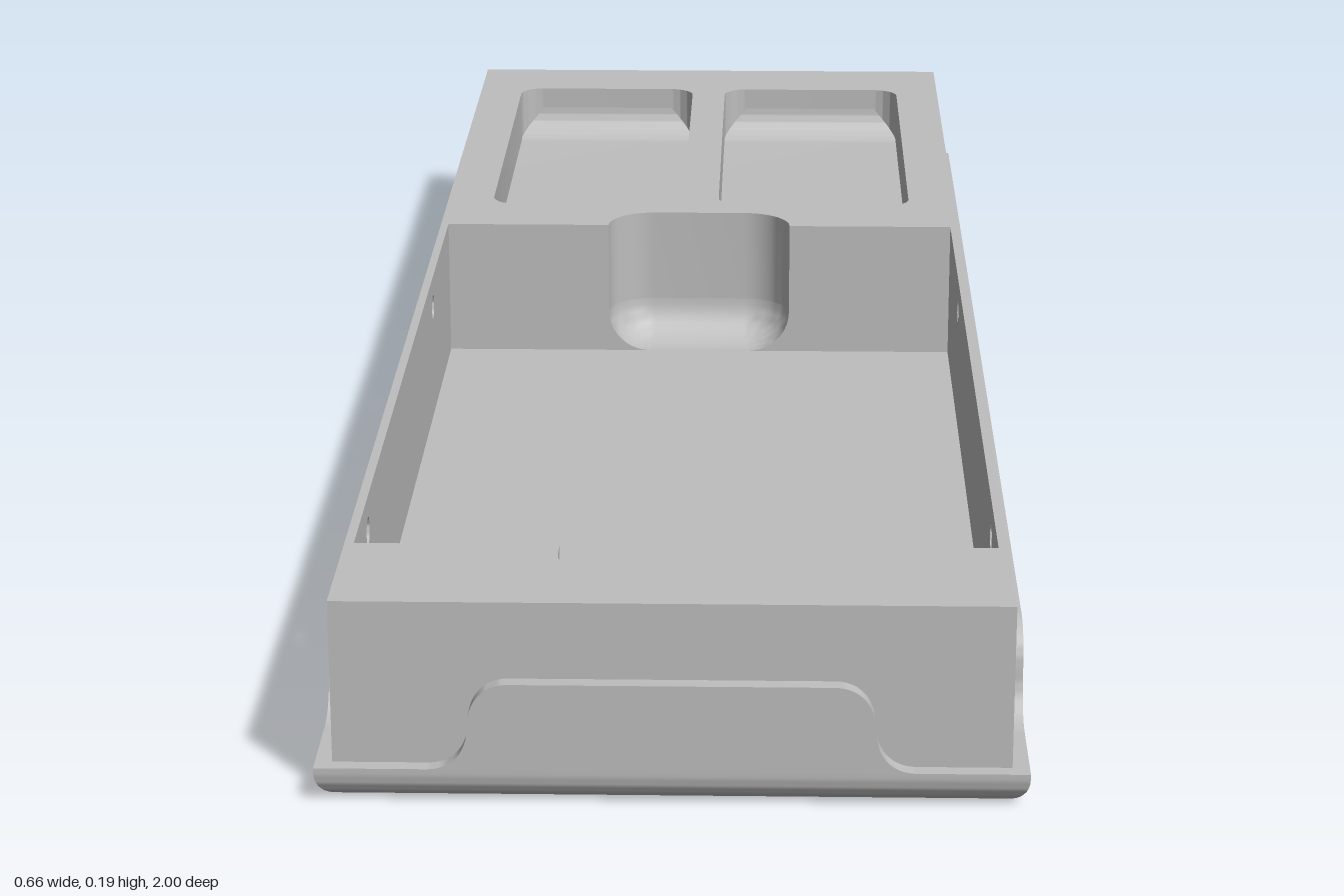
import * as THREE from 'three';
import { toCreasedNormals } from 'three/addons/utils/BufferGeometryUtils.js';

const FLOOR = 0.035, TOP = 0.195, CORE = 0.305, WALL = 0.314, END = 0.985;

export function createModel() {
  const model = new THREE.Group();
  const grey = new THREE.MeshStandardMaterial({ color: 0xbebebe, side: THREE.DoubleSide });
  grey.name = 'tray grey';

  const add = (name, geo, parent = model) => {
    const mesh = new THREE.Mesh(toCreasedNormals(geo, 0.6), grey);
    mesh.name = name;
    parent.add(mesh);
    return mesh;
  };
  const extrude = (shape, depth) =>
    new THREE.ExtrudeGeometry(shape, { depth, bevelEnabled: false, curveSegments: 12 });

  // Skin a list of rings of [x, y, z] points, lowest ring first
  const skin = (rings, closed) => {
    const pos = [];
    for (let k = 0; k < rings.length - 1; k++) {
      const n = rings[k].length;
      for (let j = 0; j < (closed ? n : n - 1); j++) {
        const a = rings[k][j], b = rings[k][(j + 1) % n];
        const c = rings[k + 1][(j + 1) % n], d = rings[k + 1][j];
        pos.push(...a, ...b, ...c, ...a, ...c, ...d);
      }
    }
    const geo = new THREE.BufferGeometry();
    geo.setAttribute('position', new THREE.Float32BufferAttribute(pos, 3));
    return geo;
  };

  // Base plate with a rounded lower edge
  const rect = (x, z, y) => [[x, y, z], [x, y, -z], [-x, y, -z], [-x, y, z]];
  const R = 0.03, baseRings = [rect(0, 0, 0)];
  for (let i = 0; i <= 10; i++) {
    const a = (i / 10) * Math.PI / 2, inset = R * (1 - Math.sin(a));
    baseRings.push(rect(0.33 - inset, 1 - inset, R * (1 - Math.cos(a))));
  }
  baseRings.push(rect(0.33, 1, FLOOR), rect(0, 0, FLOOR));
  add('basePlate', skin(baseRings, true));

  // Raised lips with S-shaped ends on all four sides
  const lip = (name, top, foot, dist, thick, turn) => {
    const m = (top + foot) / 2, h = 0.12, mid = (FLOOR + h) / 2;
    const s = new THREE.Shape();
    s.moveTo(-foot, FLOOR);
    s.bezierCurveTo(-m - 0.015, FLOOR, -m, mid - 0.025, -m, mid);
    s.bezierCurveTo(-m, mid + 0.025, -m + 0.015, h, -top, h);
    s.lineTo(top, h);
    s.bezierCurveTo(m - 0.015, h, m, mid + 0.025, m, mid);
    s.bezierCurveTo(m, mid - 0.025, m + 0.015, FLOOR, foot, FLOOR);
    const geo = extrude(s, thick);
    geo.translate(0, 0, dist - thick);
    add(name, geo).rotation.y = turn;
  };
  lip('frontLip', 0.15, 0.225, 1, 0.016, 0);
  lip('backLip', 0.15, 0.225, 1, 0.016, Math.PI);
  lip('leftLip', 0.82, 0.905, 0.33, 0.017, Math.PI / 2);
  lip('rightLip', 0.82, 0.905, 0.33, 0.017, -Math.PI / 2);

  // Thin side walls, each with three round holes
  for (const side of [1, -1]) {
    const s = new THREE.Shape();
    s.moveTo(-END, FLOOR);
    s.lineTo(END, FLOOR);
    s.lineTo(END, TOP);
    s.lineTo(-END, TOP);
    s.closePath();
    for (const z of [-0.72, 0, 0.72]) {
      const hole = new THREE.Path();
      hole.absarc(z, 0.16, 0.014, 0, Math.PI * 2, true);
      s.holes.push(hole);
    }
    const geo = extrude(s, WALL - CORE);
    geo.translate(0, 0, CORE);
    add(side > 0 ? 'leftWall' : 'rightWall', geo).rotation.y = side * Math.PI / 2;
  }

  // Outline of a finger notch, inset by s: [x, distance into the block]
  const notch = (depth, s) => {
    const w = 0.11 - s, d = depth - s, r = Math.max(0.055 - s, 0.004);
    const pts = [[-w, 0]];
    for (let i = 0; i <= 10; i++) {
      const a = (i / 10) * Math.PI / 2;
      pts.push([-w + r - r * Math.cos(a), d - r + r * Math.sin(a)]);
    }
    return [...pts, ...pts.map(([x, y]) => [-x, y]).reverse()];
  };

  // Pocket opening with rounded corners
  const roundedHole = (x0, x1, y0, y1, r) => {
    const p = new THREE.Path();
    p.absarc(x1 - r, y0 + r, r, -Math.PI / 2, 0);
    p.absarc(x1 - r, y1 - r, r, 0, Math.PI / 2);
    p.absarc(x0 + r, y1 - r, r, Math.PI / 2, Math.PI);
    p.absarc(x0 + r, y0 + r, r, Math.PI, Math.PI * 1.5);
    p.closePath();
    return p;
  };

  // Solid end block, its notched edge on local z = 0 facing +z
  const endBlock = (name, length, depth, holes) => {
    const group = new THREE.Group();
    group.name = name;
    const s = new THREE.Shape();
    s.moveTo(-CORE, 0);
    s.lineTo(-CORE, length);
    s.lineTo(CORE, length);
    s.lineTo(CORE, 0);
    notch(depth, 0).reverse().forEach(([x, y]) => s.lineTo(x, y));
    s.closePath();
    s.holes.push(...holes);
    const geo = extrude(s, TOP - FLOOR);
    geo.rotateX(-Math.PI / 2);
    geo.translate(0, FLOOR, 0);
    add(name + 'Body', geo, group);

    // Cove at the bottom of the notch
    const r = 0.05, rings = [];
    for (let i = 0; i <= 10; i++) {
      const a = (i / 10) * Math.PI / 2;
      const y = FLOOR + r * (1 - Math.cos(a));
      rings.push(notch(depth, r * (1 - Math.sin(a))).map(([x, d]) => [x, y, -d]));
    }
    add(name + 'NotchCove', skin(rings, false), group);
    for (const side of [1, -1]) {
      const c = new THREE.Shape();
      c.moveTo(side * 0.11, FLOOR);
      rings.forEach((ring) => c.lineTo(side * ring.at(-1)[0], ring[0][1]));
      c.closePath();
      add(name + 'NotchCorner', new THREE.ShapeGeometry(c), group);
    }
    model.add(group);
    return group;
  };

  const spans = [[-0.258, -0.022], [0.022, 0.258]];
  endBlock('backBlock', 0.765, 0.055,
    spans.map(([a, b]) => roundedHole(a, b, 0.09, 0.66, 0.03))).position.z = -0.22;
  const front = endBlock('frontBlock', 0.145, 0.08, []);
  front.position.z = 0.84;
  front.rotation.y = Math.PI;

  // Floors of the two small pockets, coved up at both ends
  for (const [x0, x1] of spans) {
    const y = 0.13, r = 0.038, z0 = 0.31, z1 = 0.88;
    const s = new THREE.Shape();
    s.moveTo(z0, FLOOR);
    s.lineTo(z0, y + r);
    s.absarc(z0 + r, y + r, r, Math.PI, Math.PI * 1.5);
    s.absarc(z1 - r, y + r, r, -Math.PI / 2, 0);
    s.lineTo(z1, FLOOR);
    s.closePath();
    const geo = extrude(s, x1 - x0);
    geo.rotateY(Math.PI / 2);
    geo.translate(x0, 0, 0);
    add('pocketFloor', geo);
  }
  return model;
}
